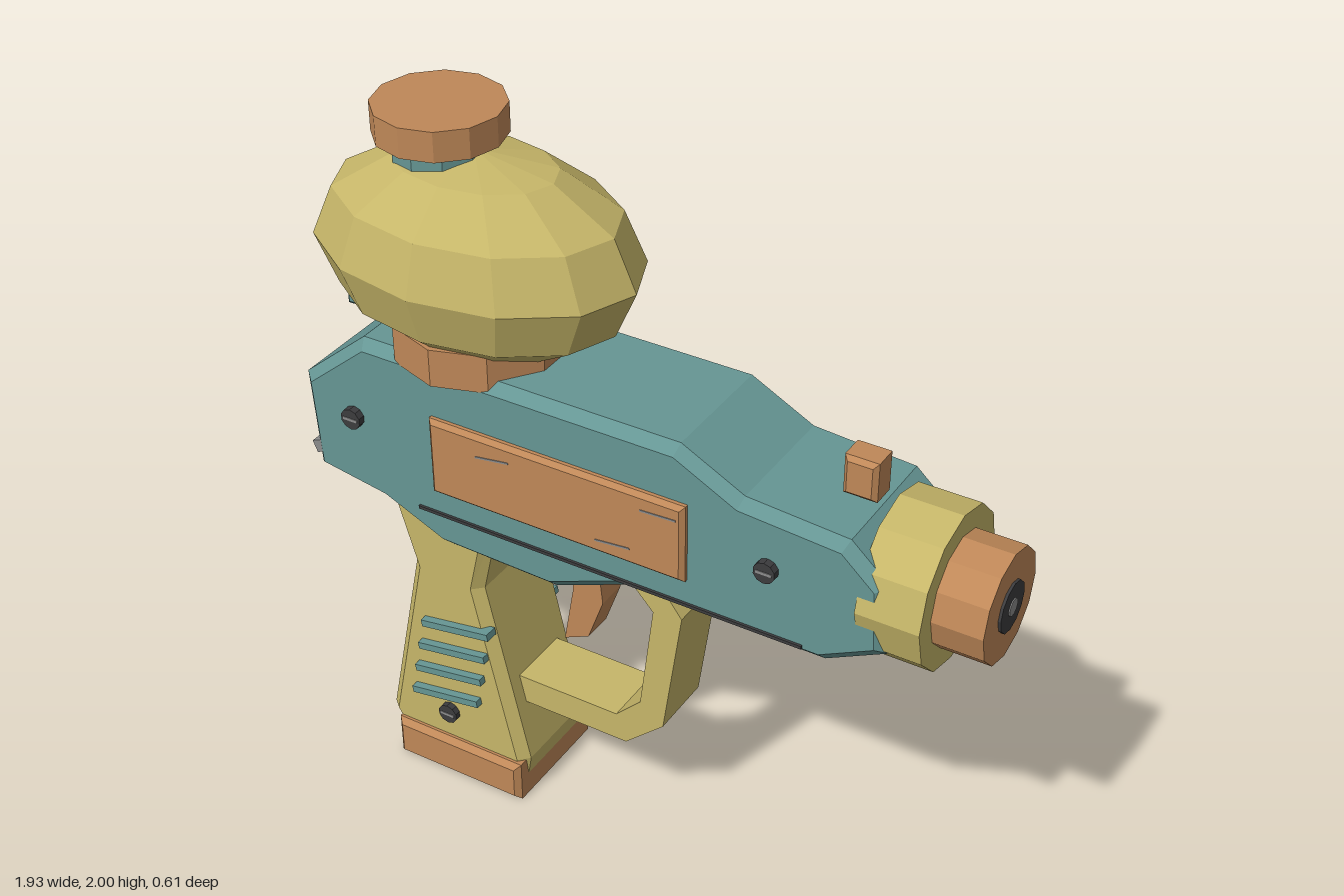
import * as THREE from 'three';

const material = (name, color) => {
  const m = new THREE.MeshStandardMaterial({ color });
  m.name = name;
  return m;
};

export function createModel() {
  const teal = material('teal', 0x669694);
  const yellow = material('mustard', 0xc6b669);
  const orange = material('copper', 0xbf8858);
  const dark = material('dark metal', 0x3c3c3e);
  const grey = material('light metal', 0x8c8c8c);

  const model = new THREE.Group();
  model.name = 'toyBlaster';

  // Faceted mesh with one normal per face
  function add(name, geometry, mat, x = 0, y = 0, z = 0, parent = model) {
    const g = geometry.index ? geometry.toNonIndexed() : geometry;
    g.computeVertexNormals();
    const mesh = new THREE.Mesh(g, mat);
    mesh.name = name;
    mesh.position.set(x, y, z);
    parent.add(mesh);
    return mesh;
  }

  // Side outline extruded to +-halfWidth with chamfered edges inside the outline
  function slab(points, halfWidth, bevel = 0) {
    const shape = new THREE.Shape(points.map(([x, y]) => new THREE.Vector2(x, y)));
    const g = new THREE.ExtrudeGeometry(shape, {
      depth: 2 * (halfWidth - bevel), bevelEnabled: bevel > 0,
      bevelSize: bevel, bevelThickness: bevel, bevelOffset: -bevel, bevelSegments: 1,
    });
    return g.translate(0, 0, bevel - halfWidth);
  }

  const block = (w, h, d, bevel) =>
    slab([[-w / 2, -h / 2], [w / 2, -h / 2], [w / 2, h / 2], [-w / 2, h / 2]], d / 2, bevel);

  // Cylinder lying along x, starting at x = 0
  const barrel = (radius, length, sides) =>
    new THREE.CylinderGeometry(radius, radius, length, sides).rotateZ(-Math.PI / 2).translate(length / 2, 0, 0);

  // Main body
  add('body', slab([
    [-0.955, 1.22], [-0.935, 0.94], [-0.72, 0.905], [-0.54, 0.825], [-0.2, 0.815],
    [0.01, 0.9], [0.57, 0.9], [0.735, 0.985], [0.725, 1.18], [0.62, 1.275],
    [0.34, 1.295], [0.165, 1.385], [-0.76, 1.385],
  ], 0.2, 0.028), teal);

  // Grip and base
  add('grip', slab([
    [-0.75, 0.07], [-0.34, 0.07], [-0.33, 0.13], [-0.455, 0.68], [-0.405, 0.9],
    [-0.745, 0.95], [-0.675, 0.69], [-0.79, 0.14],
  ], 0.163, 0.028), yellow);
  add('gripBase', block(0.41, 0.125, 0.374, 0.016), orange, -0.545, 0.0625);

  // Trigger and guard
  add('triggerGuard', slab([
    [-0.4, 0.29], [-0.045, 0.29], [0.07, 0.395], [0.125, 0.78], [0.035, 0.9], [-0.43, 0.9],
    [-0.43, 0.835], [-0.02, 0.835], [0.04, 0.77], [0, 0.45], [-0.075, 0.375], [-0.4, 0.375],
  ], 0.094), yellow);
  add('trigger', slab([
    [-0.24, 0.86], [-0.235, 0.7], [-0.265, 0.525], [-0.19, 0.56], [-0.143, 0.69], [-0.16, 0.86],
  ], 0.045), orange);

  // Tank with collar, neck and cap
  add('tankCollar', new THREE.CylinderGeometry(0.24, 0.24, 0.105, 10), orange, -0.51, 1.408);
  add('tank', new THREE.SphereGeometry(1, 12, 6).scale(0.455, 0.27, 0.305), yellow, -0.515, 1.63);
  add('tankNeck', new THREE.CylinderGeometry(0.125, 0.125, 0.14, 10), teal, -0.61, 1.86);
  add('tankCap', new THREE.CylinderGeometry(0.169, 0.169, 0.08, 12), orange, -0.61, 1.96);

  // Muzzle
  add('muzzleRing', barrel(0.211, 0.167, 12), yellow, 0.655, 1.1);
  add('nozzle', barrel(0.15, 0.145, 12), orange, 0.81, 1.1);
  add('nozzleTip', barrel(0.068, 0.012, 12), dark, 0.95, 1.1);
  add('nozzleHole', barrel(0.024, 0.005, 10), grey, 0.96, 1.1);

  // Sights
  add('rearSight', block(0.09, 0.08, 0.1, 0.012), teal, -0.865, 1.41);
  add('frontSight', block(0.09, 0.11, 0.088, 0.012), orange, 0.57, 1.345);

  // Details on both sides
  for (const side of [1, -1]) {
    const label = side > 0 ? 'front' : 'back';
    add(label + 'Panel', block(0.745, 0.225, 0.06, 0.012), orange, -0.172, 1.122, side * 0.192);
    add(label + 'Seam', new THREE.BoxGeometry(1.12, 0.009, 0.02), dark, -0.04, 0.935, side * 0.197);

    for (const [x, y, z] of [[-0.79, 1.15, 0.208], [0.42, 1.13, 0.208], [-0.575, 0.215, 0.168]]) {
      const screw = new THREE.Group();
      screw.name = label + 'Screw';
      screw.position.set(x, y, side * z);
      model.add(screw);
      add('screwHead', new THREE.CylinderGeometry(0.03, 0.03, 0.026, 10).rotateX(Math.PI / 2), dark, 0, 0, 0, screw);
      add('screwSlot', new THREE.BoxGeometry(0.044, 0.008, 0.004), grey, 0, 0, side * 0.013, screw);
    }

    for (let i = 0; i < 4; i++) {
      const rib = add(label + 'GripRib', new THREE.BoxGeometry(0.22, 0.021, 0.04), teal,
        -0.53 - i * 0.016, 0.535 - i * 0.085, side * 0.165);
      rib.rotation.z = 0.165;
    }
  }

  // Small scratches and a worn corner
  for (const [x, y, tilt] of [[-0.35, 1.18, 0.15], [0, 1.055, 0.1], [0.13, 1.19, 0.05]]) {
    add('scratch', new THREE.BoxGeometry(0.1, 0.005, 0.004), grey, x, y, 0.222).rotation.z = tilt;
  }
  add('wornCorner', new THREE.BoxGeometry(0.04, 0.035, 0.03), grey, -0.918, 1.01, 0.183).rotation.z = 0.4;

  return model;
}
